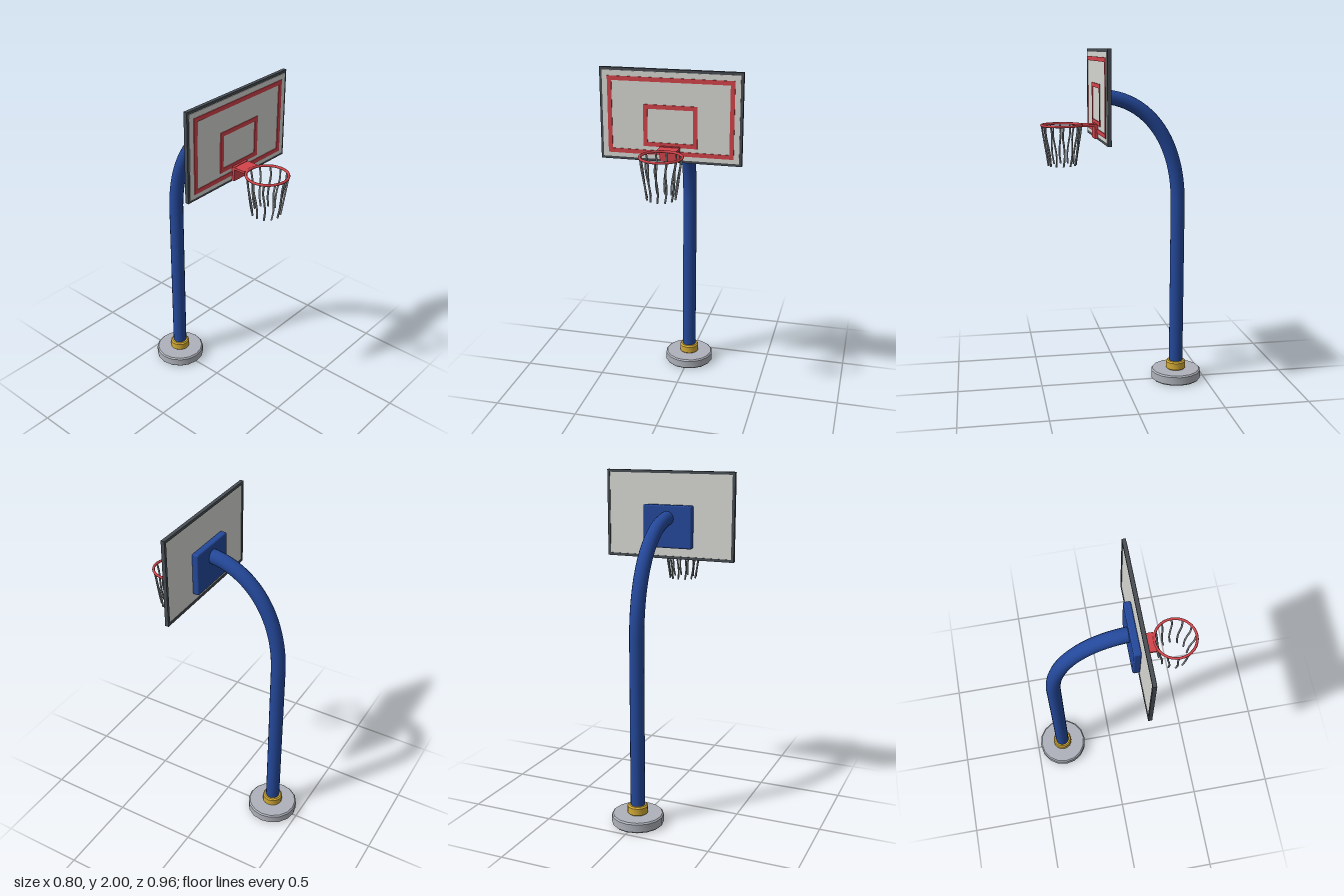
import * as THREE from 'three';
import { toCreasedNormals } from 'three/addons/utils/BufferGeometryUtils.js';
import { RoundedBoxGeometry } from 'three/addons/geometries/RoundedBoxGeometry.js';

const material = (name, color) => {
  const m = new THREE.MeshStandardMaterial({ color });
  m.name = name;
  return m;
};

export function createModel() {
  const group = new THREE.Group();
  const blue = material('blue paint', 0x24489a);
  const red = material('red paint', 0xd2434a);
  const white = material('board white', 0xd6d7d2);
  const dark = material('dark frame', 0x474d53);
  const yellow = material('yellow collar', 0xd2aa36);
  const grey = material('base grey', 0xaeb2ba);
  const cord = material('net cord', 0x888c8f);

  const add = (name, geometry, mat, x = 0, y = 0, z = 0, parent = group) => {
    const mesh = new THREE.Mesh(geometry, mat);
    mesh.name = name;
    mesh.position.set(x, y, z);
    parent.add(mesh);
    return mesh;
  };

  // Disc with bevelled rims, standing on its own origin
  const disc = (r, h, b) => toCreasedNormals(new THREE.LatheGeometry([
    [0, 0], [r - b, 0], [r, b], [r, h - b], [r - b, h], [0, h],
  ].map(([x, y]) => new THREE.Vector2(x, y)), 16), 0.6);

  // Rectangular ring, extruded towards +z
  const frame = (w, h, border, depth) => {
    const rect = (Type, a, b) => new Type([[-a, -b], [a, -b], [a, b], [-a, b]]
      .map(([x, y]) => new THREE.Vector2(x, y)));
    const shape = rect(THREE.Shape, w / 2, h / 2);
    shape.holes.push(rect(THREE.Path, w / 2 - border, h / 2 - border));
    return new THREE.ExtrudeGeometry(shape, { depth, bevelEnabled: false });
  };

  // Base and pole
  const poleZ = -0.328;
  add('base', disc(0.152, 0.062, 0.008), grey, 0, 0, poleZ);
  add('collar', disc(0.06, 0.056, 0.008), yellow, 0, 0.06, poleZ);
  add('pole', new THREE.CylinderGeometry(0.042, 0.042, 1.03, 16, 1, true), blue, 0, 0.585, poleZ);
  const bend = new THREE.CubicBezierCurve3(
    new THREE.Vector3(0, 1.1, poleZ), new THREE.Vector3(0, 1.48, poleZ),
    new THREE.Vector3(0, 1.71, -0.14), new THREE.Vector3(0, 1.73, 0.11));
  add('poleBend', new THREE.TubeGeometry(bend, 24, 0.042, 16), blue);
  add('mountPlate', new RoundedBoxGeometry(0.305, 0.25, 0.042, 2, 0.01), blue, 0, 1.68, 0.117);

  // Backboard with painted target lines
  const board = new THREE.Group();
  board.name = 'backboard';
  board.position.y = 1.744;
  group.add(board);
  add('boardFrame', frame(0.8, 0.512, 0.016, 0.021), dark, 0, 0, 0.134, board);
  add('boardPanel', new THREE.BoxGeometry(0.77, 0.482, 0.02), white, 0, 0, 0.148, board);
  add('borderLine', frame(0.71, 0.428, 0.024, 0.005), red, 0, -0.003, 0.157, board);
  add('targetLine', frame(0.305, 0.234, 0.024, 0.005), red, 0, -0.054, 0.157, board);

  // Hoop and its bracket
  const hoop = new THREE.Group();
  hoop.name = 'hoop';
  group.add(hoop);
  add('bracketPlate', new THREE.BoxGeometry(0.112, 0.085, 0.018), red, 0, 1.537, 0.166, hoop);
  add('bracketArm', new THREE.BoxGeometry(0.112, 0.013, 0.075), red, 0, 1.57, 0.208, hoop);
  const rimZ = 0.358;
  add('rim', new THREE.TorusGeometry(0.115, 0.0075, 8, 32), red, 0, 1.572, rimZ, hoop)
    .rotation.x = Math.PI / 2;

  // Net of slightly wavy hanging cords
  const net = new THREE.Group();
  net.name = 'net';
  net.position.set(0, 1.572, rimZ);
  group.add(net);
  const strand = new THREE.CatmullRomCurve3([
    [0.114, 0, 0], [0.106, -0.058, 0.005], [0.097, -0.116, -0.002],
    [0.088, -0.174, -0.006], [0.079, -0.232, 0],
  ].map((p) => new THREE.Vector3(...p)));
  const strandGeometry = new THREE.TubeGeometry(strand, 12, 0.0055, 6);
  const tip = new THREE.CircleGeometry(0.0055, 6).rotateX(Math.PI / 2);
  for (let i = 0; i < 12; i++) {
    const angle = (i / 12) * Math.PI * 2;
    const cordMesh = add('netCord', strandGeometry, cord, 0, 0, 0, net);
    cordMesh.rotation.y = angle;
    add('cordTip', tip, cord, 0.079, -0.232, 0, cordMesh);
  }
  return group;
}
